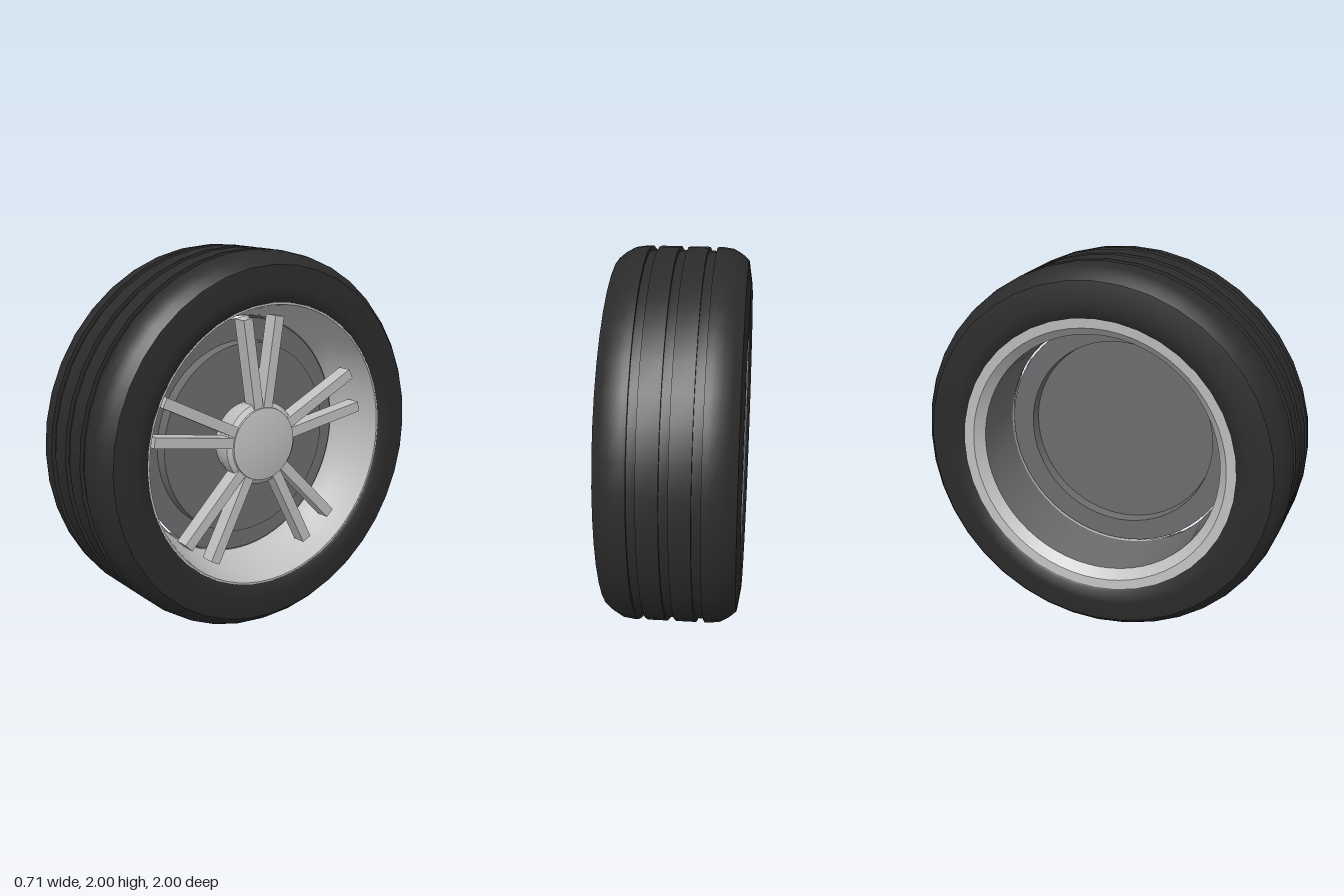
import * as THREE from 'three';
import { toCreasedNormals } from 'three/addons/utils/BufferGeometryUtils.js';

const flat = (name, color) => {
  const m = new THREE.MeshStandardMaterial({ color, side: THREE.DoubleSide });
  m.name = name;
  return m;
};

// Revolves [x, radius] points around the axle (x axis)
function revolve(name, points, material, segments = 48) {
  const lathe = new THREE.LatheGeometry(points.map(([x, r]) => new THREE.Vector2(r, x)), segments);
  lathe.rotateZ(-Math.PI / 2);
  const mesh = new THREE.Mesh(toCreasedNormals(lathe, 0.6), material);
  mesh.name = name;
  return mesh;
}

export function createModel() {
  const rubber = flat('black rubber', 0x2b2b2b);
  const silver = flat('silver metal', 0xbfbfc1);
  const grey = flat('dark grey metal', 0x6c6c6e);

  const wheel = new THREE.Group();
  wheel.name = 'wheel';
  wheel.position.y = 1;

  // Tyre: sidewall, shoulder and three tread grooves
  const side = [[0.33, 0.74], [0.347, 0.76], [0.354, 0.82], [0.336, 0.935], [0.3, 0.966], [0.255, 0.992], [0.2, 1]];
  const tread = [];
  for (const c of [-0.15, 0, 0.15]) {
    tread.push([c - 0.022, 1], [c - 0.022, 0.98], [c + 0.022, 0.98], [c + 0.022, 1]);
  }
  const tyre = [...side.map(([x, r]) => [-x, r]), ...tread, ...[...side].reverse()];
  wheel.add(revolve('tyre', tyre, rubber, 40));

  // Rim: flared dish on the outer side, barrel, and inner lip
  wheel.add(revolve('rimDish', [
    [0.335, 0.746], [0.335, 0.735], [0.29, 0.725], [0.22, 0.705], [0.14, 0.675], [0.09, 0.655], [0.05, 0.646],
  ], silver, 64));
  wheel.add(revolve('rimBarrel', [[0.05, 0.646], [-0.28, 0.65]], grey, 64));
  wheel.add(revolve('rimInnerLip', [[-0.28, 0.65], [-0.33, 0.695], [-0.335, 0.746]], silver, 64));

  // Stepped plate behind the spokes, hollow at the back
  wheel.add(revolve('backPlate', [[0.055, 0.637], [0.055, 0.52], [0.115, 0.515], [0.115, 0]], grey, 64));

  // Hub and domed cap
  wheel.add(revolve('hub', [[0.115, 0.2], [0.18, 0.22], [0.245, 0.22], [0.262, 0.195]], silver));
  wheel.add(revolve('hubCap', [[0.255, 0.196], [0.272, 0.193], [0.281, 0.14], [0.287, 0.07], [0.289, 0]], silver));

  // Five pairs of straight spokes
  const spokes = new THREE.Group();
  spokes.name = 'spokes';
  const spokeShape = new THREE.BoxGeometry(0.08, 0.48, 0.056);
  spokeShape.translate(0.225, 0.43, 0);
  for (let i = 0; i < 5; i++) {
    for (const s of [-1, 1]) {
      const spoke = new THREE.Mesh(spokeShape, silver);
      spoke.name = 'spoke';
      spoke.rotation.x = (i * Math.PI * 2) / 5 + s * 0.151;
      spokes.add(spoke);
    }
  }
  wheel.add(spokes);

  const model = new THREE.Group();
  model.name = 'carWheel';
  model.add(wheel);
  return model;
}
